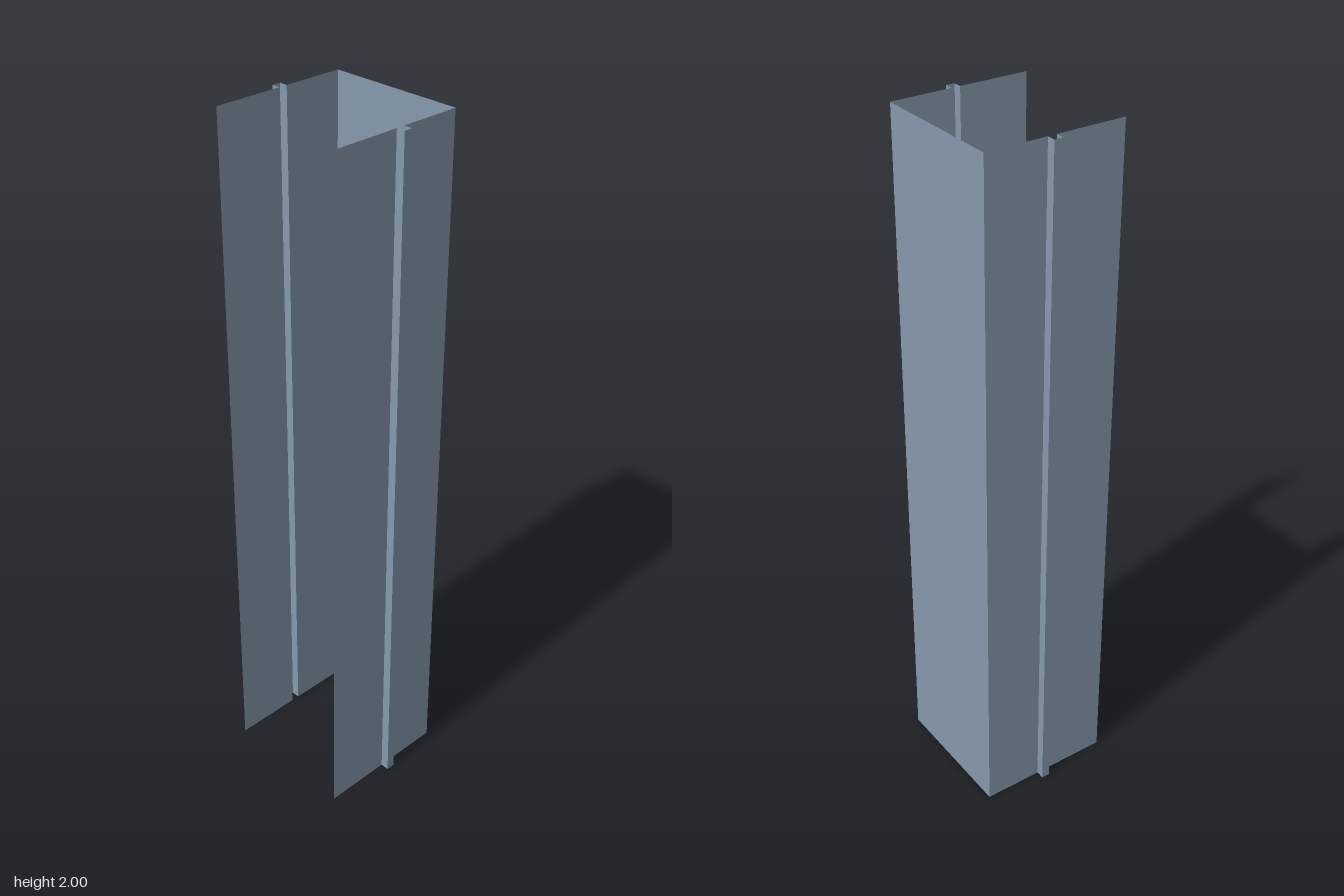
import * as THREE from 'three';

const HEIGHT = 2;
const WALL_X = 0.2;     // side walls
const RIB_X = 0.225;    // outer face of the ribs
const DEPTH = 0.2;      // half depth
const RIB_BACK = -0.025;

const material = new THREE.MeshStandardMaterial({
  color: 0x869aad, flatShading: true, side: THREE.DoubleSide,
});

// Vertical zero-thickness sheet between two [x, z] points
function sheet(name, [x0, z0], [x1, z1]) {
  const geometry = new THREE.PlaneGeometry(Math.hypot(x1 - x0, z1 - z0), HEIGHT);
  geometry.rotateY(Math.atan2(-(z1 - z0), x1 - x0));
  geometry.translate((x0 + x1) / 2, HEIGHT / 2, (z0 + z1) / 2);
  const mesh = new THREE.Mesh(geometry, material);
  mesh.name = name;
  return mesh;
}

// Side wall folded outward into a narrow square channel rib
function sideWall(name, s) {
  const group = new THREE.Group();
  group.name = name;
  const w = s * WALL_X, r = s * RIB_X;
  const folds = [
    ['rearWall', [w, -DEPTH], [w, RIB_BACK]],
    ['ribRear', [w, RIB_BACK], [r, RIB_BACK]],
    ['ribFace', [r, RIB_BACK], [r, 0]],
    ['ribFront', [r, 0], [w, 0]],
    ['frontWall', [w, 0], [w, DEPTH]],
  ];
  // Reverse the mirrored side so both walls face outward
  for (const [part, a, b] of folds) group.add(s > 0 ? sheet(part, b, a) : sheet(part, a, b));
  return group;
}

export function createModel() {
  const model = new THREE.Group();
  model.name = 'channelProfile';
  model.add(sheet('backPanel', [WALL_X, -DEPTH], [-WALL_X, -DEPTH]));
  model.add(sideWall('leftWall', 1), sideWall('rightWall', -1));
  return model;
}
